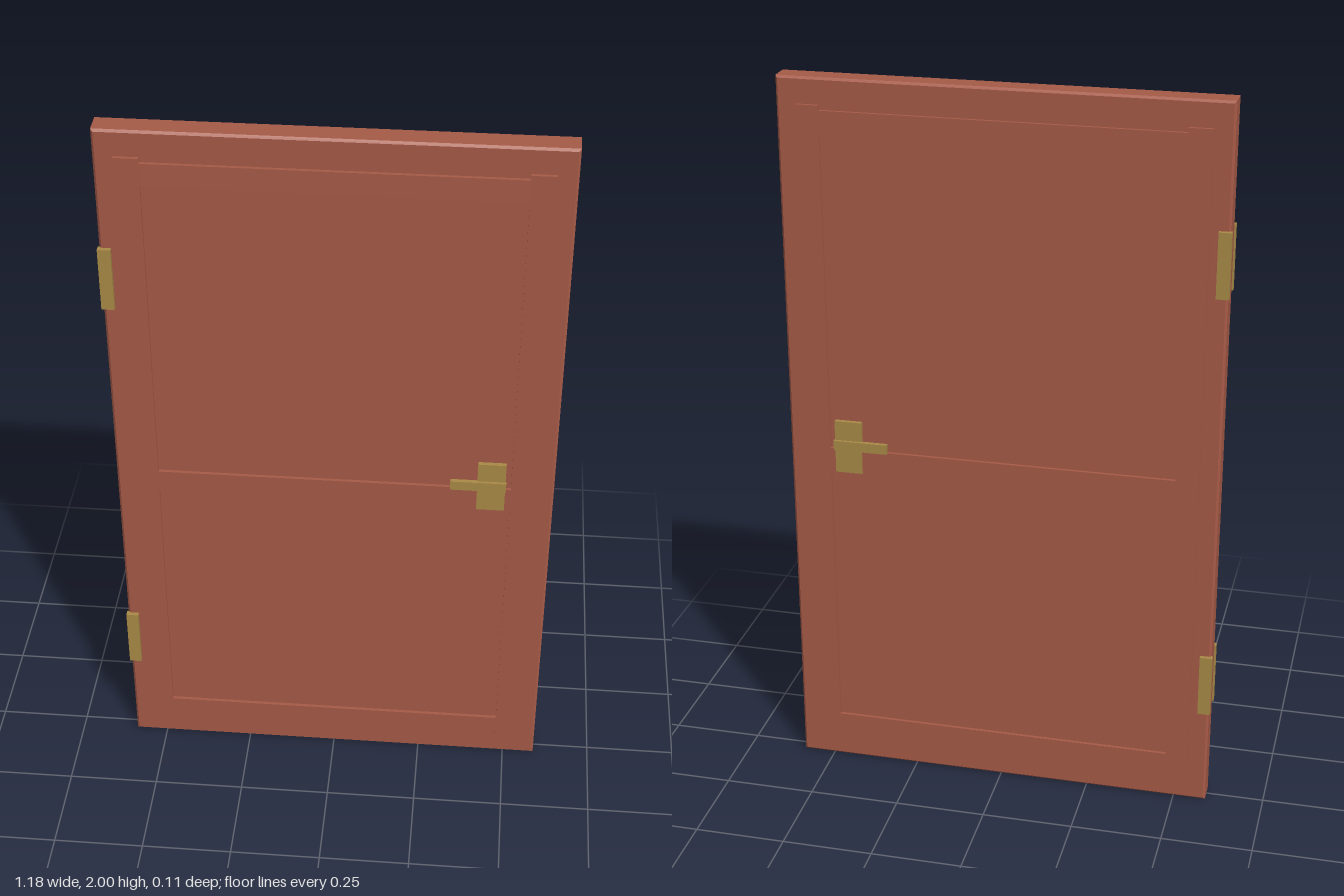
import * as THREE from 'three';

const wood = new THREE.MeshStandardMaterial({ color: 0xa65a47 });
const brass = new THREE.MeshStandardMaterial({ color: 0xa98a47 });

// Box given by its minimum and maximum corners
function box(name, material, [x0, y0, z0], [x1, y1, z1]) {
  const mesh = new THREE.Mesh(new THREE.BoxGeometry(x1 - x0, y1 - y0, z1 - z0), material);
  mesh.position.set((x0 + x1) / 2, (y0 + y1) / 2, (z0 + z1) / 2);
  mesh.name = name;
  return mesh;
}

// Door leaf with chamfered front and back edges
function makeSlab() {
  const w = 0.59, b = 0.006, half = 0.035;
  const outline = new THREE.Shape([
    new THREE.Vector2(-w + b, b), new THREE.Vector2(w - b, b),
    new THREE.Vector2(w - b, 2 - b), new THREE.Vector2(-w + b, 2 - b),
  ]);
  const geometry = new THREE.ExtrudeGeometry(outline, {
    depth: 2 * (half - b), bevelEnabled: true, bevelSegments: 1, bevelSize: b, bevelThickness: b,
  });
  geometry.translate(0, 0, -(half - b));
  const slab = new THREE.Mesh(geometry, wood);
  slab.name = 'slab';
  return slab;
}

// Everything mounted on one face; s is +1 for the front, -1 for the back
function makeFace(s) {
  const face = new THREE.Group();
  face.name = s > 0 ? 'frontFace' : 'backFace';
  const add = (name, material, x0, x1, y0, y1, z0, z1) =>
    face.add(box(name, material, [x0, y0, Math.min(s * z0, s * z1)], [x1, y1, Math.max(s * z0, s * z1)]));

  // Raised frame: two stiles and three slightly inset rails
  add('rightStile', wood, -0.538, -0.475, 0.075, 1.93, 0.03, 0.044);
  add('leftStile', wood, 0.475, 0.538, 0.075, 1.93, 0.03, 0.044);
  for (const [name, y0, y1] of [
    ['bottomRail', 0.085, 0.14], ['middleRail', 0.912, 0.98], ['topRail', 1.855, 1.917],
  ]) add(name, wood, -0.475, 0.475, y0, y1, 0.03, 0.044);

  // Hinge plates
  for (const y of [0.372, 1.582]) add('hingePlate', brass, -0.594, -0.56, y - 0.088, y + 0.088, 0.03, 0.047);

  // Handle: backplate and lever
  add('handlePlate', brass, 0.385, 0.46, 0.912, 1.062, 0.03, 0.047);
  add('handleLever', brass, 0.313, 0.462, 0.98, 1.007, 0.043, 0.055);
  return face;
}

export function createModel() {
  const door = new THREE.Group();
  door.name = 'door';
  door.add(makeSlab(), makeFace(1), makeFace(-1));
  return door;
}
